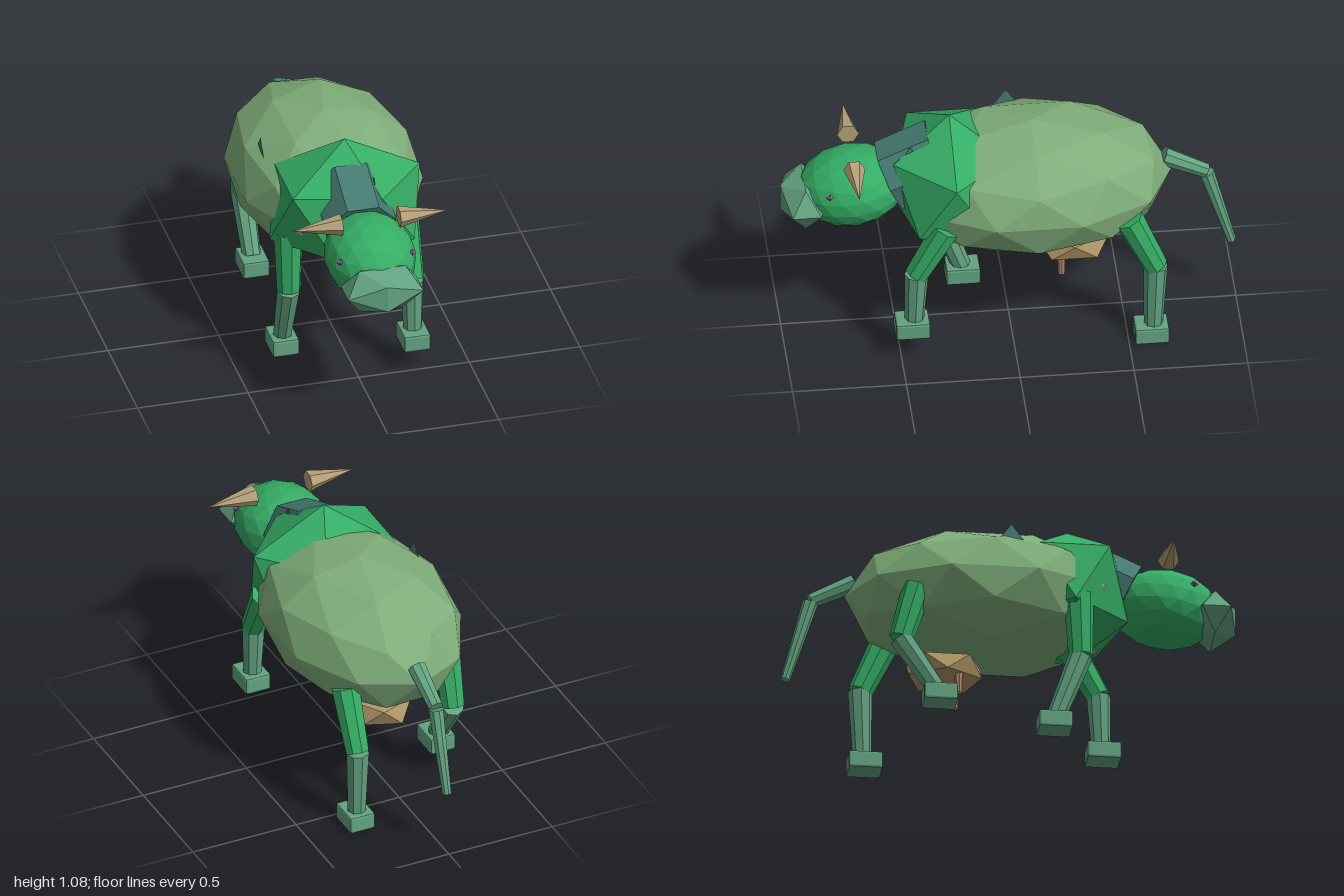
import * as THREE from 'three';
import { RoundedBoxGeometry } from 'three/addons/geometries/RoundedBoxGeometry.js';

const mat = (color) => new THREE.MeshStandardMaterial({ color, flatShading: true });
const hide = mat(0x7fae7a), green = mat(0x35ad65), sage = mat(0x63a381), neckGreen = mat(0x457a70),
  horn = mat(0xb5a078), udderTan = mat(0xb09868), teatTan = mat(0xb08868), eyePink = mat(0xa0509a);
const v = (x, y, z) => new THREE.Vector3(x, y, z);

export function createModel() {
  const model = new THREE.Group();
  model.name = 'animal';

  function add(name, geometry, material, parent = model) {
    const mesh = new THREE.Mesh(geometry, material);
    mesh.name = name;
    parent.add(mesh);
    return mesh;
  }

  // Faceted ellipsoid with one corner of the icosahedron at the top
  function blob(name, detail, center, radii, material, tilt = 0) {
    const g = new THREE.IcosahedronGeometry(1, detail);
    g.rotateX(-1.0172).rotateY(Math.PI / 2);
    g.scale(...radii).rotateX(tilt).translate(...center);
    return add(name, g, material);
  }

  // Tapered prism between two points
  function limb(name, a, b, ra, rb, sides, material, parent = model) {
    const d = b.clone().sub(a);
    const mesh = add(name, new THREE.CylinderGeometry(rb, ra, d.length(), sides), material, parent);
    mesh.position.copy(a).addScaledVector(d, 0.5);
    mesh.quaternion.setFromUnitVectors(v(0, 1, 0), d.normalize());
    return mesh;
  }

  // Trunk, shoulders, neck and head
  blob('body', 1, [0, 0.72, -0.1], [0.42, 0.305, 0.62], hide);
  blob('shoulders', 0, [0, 0.76, 0.26], [0.38, 0.32, 0.3], green);
  limb('neck', v(0, 0.87, 0.3), v(0, 0.77, 0.52), 0.165, 0.165, 7, neckGreen);
  blob('head', 2, [0, 0.735, 0.69], [0.2, 0.173, 0.24], green, 0.12);
  const muzzle = new THREE.IcosahedronGeometry(1, 0);
  muzzle.scale(0.2, 0.118, 0.12).translate(0, 0.69, 0.9);
  add('muzzle', muzzle, sage);

  // Horns and eyes
  for (const s of [1, -1]) {
    const side = s > 0 ? 'left' : 'right';
    limb(side + 'Horn', v(s * 0.13, 0.912, 0.69), v(s * 0.355, 0.912, 0.69), 0.048, 0, 6, horn);
    const eye = add(side + 'Eye', new THREE.OctahedronGeometry(0.017, 0), eyePink);
    eye.position.set(s * 0.163, 0.79, 0.8);
  }

  // Thin upright ears
  const ears = [['leftEar', 0.085, 0.92, 0.44, 0.07], ['rightEar', -0.305, 0.91, -0.02, 0.085]];
  for (const [name, x, y, z, r] of ears) {
    const ear = add(name, new THREE.ConeGeometry(r, 0.12, 4), neckGreen);
    ear.scale.x = 0.04;
    ear.position.set(x, y, z);
  }

  // Legs in mid stride: hip, knee and ankle as [y, z], then the hoof base height and z
  const legs = [
    ['frontLeftLeg', 0.26, [0.66, 0.3], [0.42, 0.43], [0.17, 0.44], 0.105, 0.45],
    ['backLeftLeg', 0.26, [0.65, -0.5], [0.385, -0.62], [0.07, -0.61], 0, -0.6],
    ['frontRightLeg', -0.26, [0.66, 0.28], [0.37, 0.29], [0.07, 0.18], 0, 0.175],
    ['backRightLeg', -0.26, [0.66, -0.43], [0.41, -0.5], [0.17, -0.34], 0.105, -0.33],
  ];
  for (const [name, x, hip, knee, ankle, hoofY, hoofZ] of legs) {
    const leg = new THREE.Group();
    leg.name = name;
    model.add(leg);
    const [h, k, a] = [hip, knee, ankle].map(([y, z]) => v(x, y, z));
    limb('thigh', h, k, 0.066, 0.054, 8, green, leg);
    limb('shin', k, a, 0.053, 0.042, 8, sage, leg);
    const hoof = add('hoof', new RoundedBoxGeometry(0.12, 0.08, 0.15, 1, 0.01), sage, leg);
    hoof.position.set(x, hoofY + 0.04, hoofZ);
  }

  // Tail
  limb('tailBase', v(0, 0.785, -0.68), v(0, 0.69, -0.87), 0.043, 0.034, 8, sage);
  limb('tailEnd', v(0, 0.68, -0.87), v(0, 0.305, -0.98), 0.035, 0.021, 8, sage);

  // Udder
  blob('udder', 0, [0, 0.38, -0.28], [0.16, 0.09, 0.19], udderTan);
  for (const s of [1, -1])
    limb('teat', v(s * 0.083, 0.36, -0.225), v(s * 0.083, 0.245, -0.225), 0.02, 0.017, 8, teatTan);

  return model;
}
